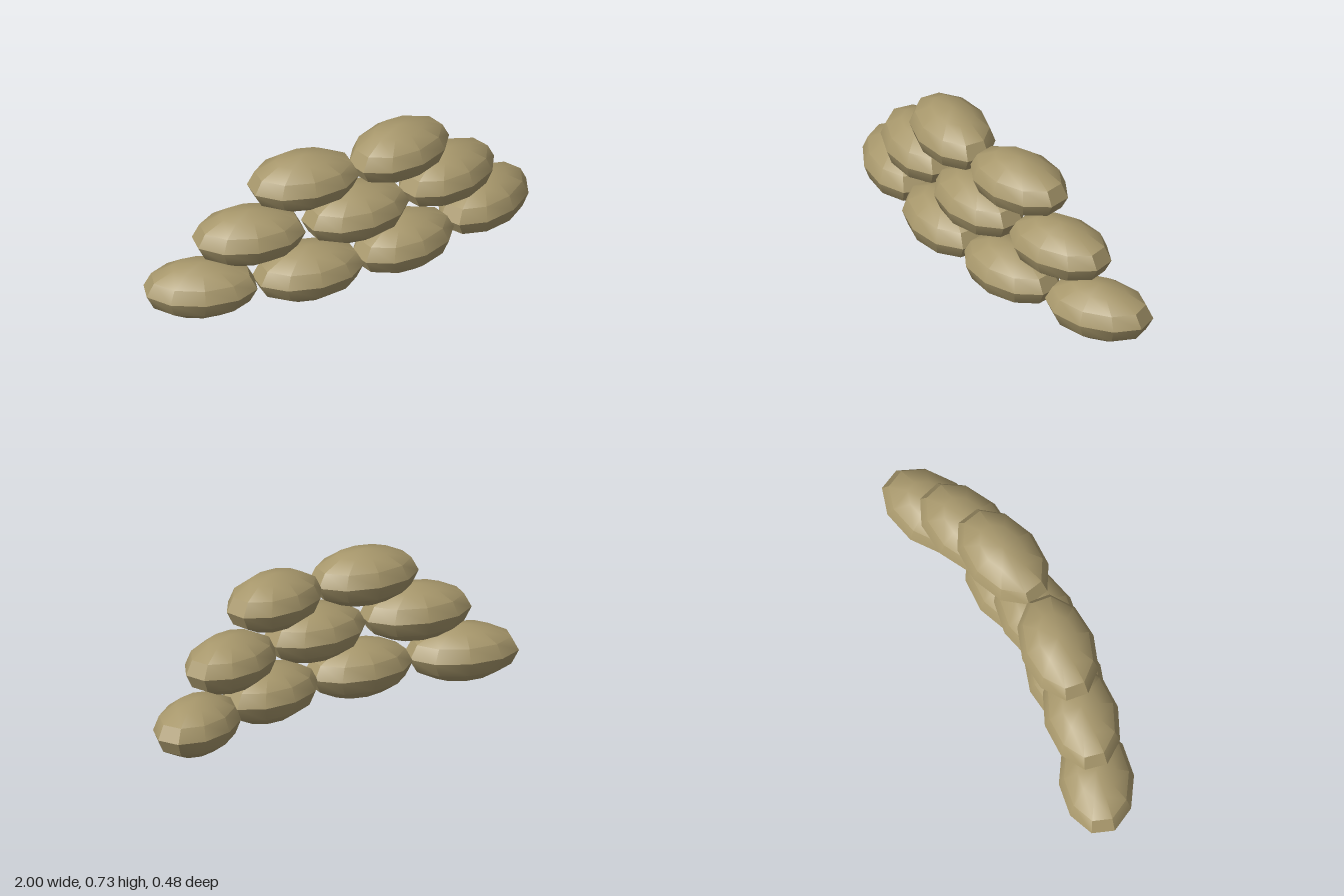
import * as THREE from 'three';
import { toCreasedNormals } from 'three/addons/utils/BufferGeometryUtils.js';

export function createModel() {
  const model = new THREE.Group();
  model.name = 'sandbagWall';

  const burlap = new THREE.MeshStandardMaterial({ color: 0xa8986c });
  burlap.name = 'burlap';

  // One stuffed bag: a stretched low-poly ball with flat ends along x and a seam at its equator
  const ball = new THREE.SphereGeometry(1, 10, 6, Math.PI / 2);
  ball.scale(0.267, 0.132, 0.172);
  const bagGeometry = toCreasedNormals(ball, THREE.MathUtils.degToRad(35));

  function addBag(row, x, y, z, degrees) {
    const bag = new THREE.Mesh(bagGeometry, burlap);
    bag.name = 'sandbag';
    bag.position.set(x, y, z);
    bag.rotation.y = THREE.MathUtils.degToRad(degrees);
    row.add(bag);
  }

  // Three curved courses; each bag is [x, z, turn] and is mirrored to -x
  const courses = [
    { name: 'bottomRow', y: 0.134, bags: [[0.25, 0.07, 7.6], [0.746, -0.05, 22.7]] },
    { name: 'middleRow', y: 0.371, bags: [[0, 0.068, 0], [0.521, 0, 14.5]] },
    { name: 'topRow', y: 0.597, bags: [[0.252, 0.031, 9.5]] },
  ];
  for (const { name, y, bags } of courses) {
    const row = new THREE.Group();
    row.name = name;
    for (const [x, z, turn] of bags) {
      addBag(row, x, y, z, turn);
      if (x > 0) addBag(row, -x, y, z, -turn);
    }
    model.add(row);
  }
  return model;
}
